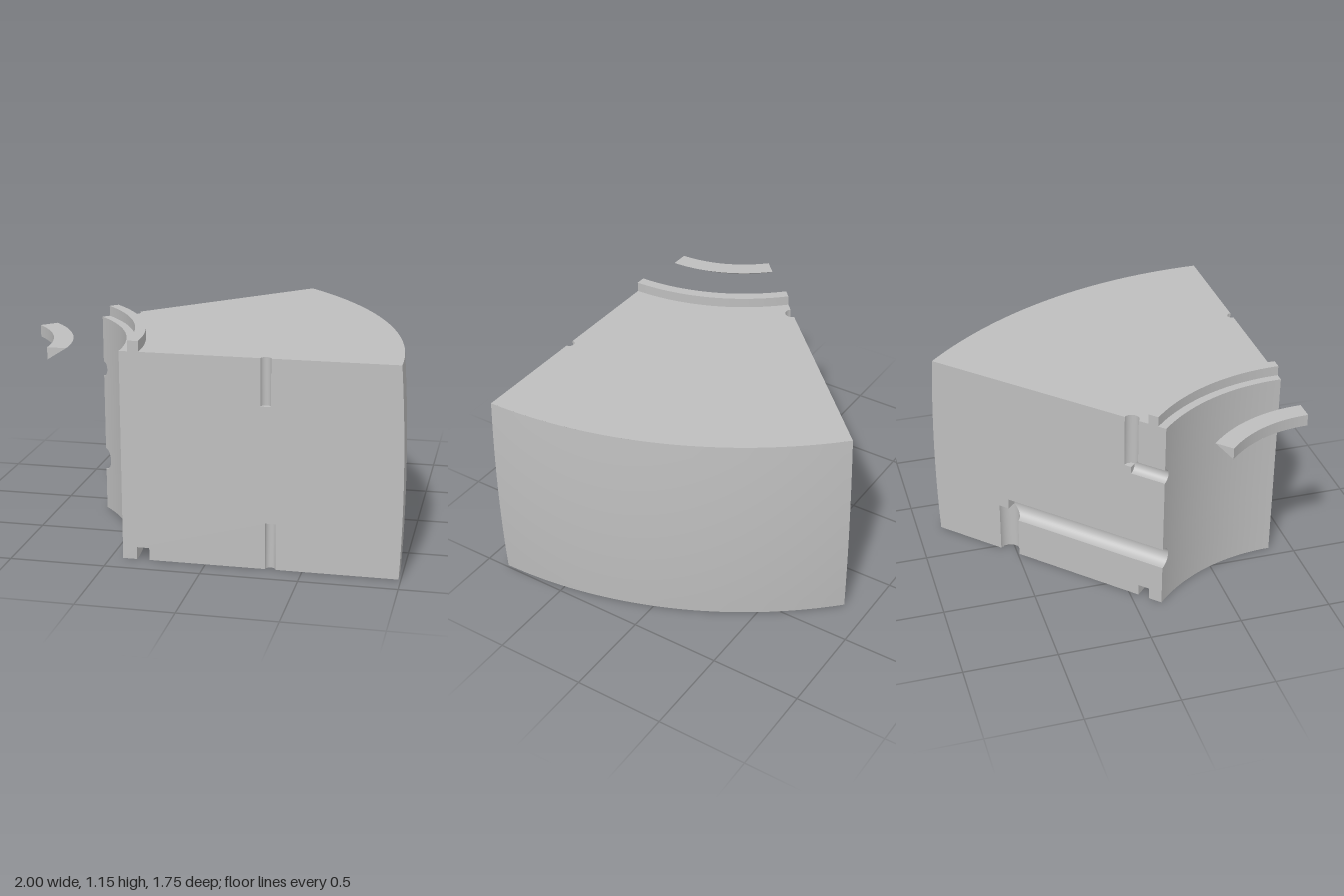
import * as THREE from 'three';
import { mergeGeometries } from 'three/addons/utils/BufferGeometryUtils.js';

const CX = -1.47, CZ = 0.873, A = Math.PI / 4; // shared axis and sector angle
const H = 1.1, RI = 1.035, G0 = 1.11, G1 = 1.175, GH = 0.065;
const rOut = y => 2.47 - 0.059 * (y - 0.45) ** 2; // slightly bulged outer wall

const polar = (r, a, y) => [CX + r * Math.cos(a), y, CZ - r * Math.sin(a)];
// Point on the radial plane at angle a: s along it, d into the block
const onFace = (a, s, y, d = 0) => [
  CX + s * Math.cos(a) + d * Math.sin(a), y, CZ - s * Math.sin(a) + d * Math.cos(a)];
const inFace = (a, s, y, d = 0) => onFace(a, s, y, a === 0 ? 0 : d).map((v, i) => (a === 0 && i === 2 ? v - d : v));
const range = (n, f) => Array.from({ length: n + 1 }, (_, i) => f(i / n));

function finish(positions, index) {
  const g = new THREE.BufferGeometry();
  g.setAttribute('position', new THREE.Float32BufferAttribute(positions, 3));
  g.setIndex(index);
  g.computeVertexNormals();
  return g;
}

// Smooth patch from a function of u, v in 0..1
function patch(nu, nv, f) {
  const p = [], idx = [];
  for (let i = 0; i <= nu; i++) for (let j = 0; j <= nv; j++) p.push(...f(i / nu, j / nv));
  for (let i = 0; i < nu; i++) for (let j = 0; j < nv; j++) {
    const a = i * (nv + 1) + j, b = a + nv + 1;
    idx.push(a, b, a + 1, b, b + 1, a + 1);
  }
  return finish(p, idx);
}

// Flat outline placed by a mapping function
function flat(points, map) {
  const pts = points.map(([x, y]) => new THREE.Vector2(x, y));
  const tris = THREE.ShapeUtils.triangulateShape(pts, []);
  return finish(points.flatMap(p => map(p[0], p[1])), tris.flat());
}

const sweepEdge = ([r0, y0], [r1, y1]) =>
  patch(32, 1, (u, v) => polar(r0 + (r1 - r0) * v, u * A, y0 + (y1 - y0) * v));

// Closed curved bar with the given radius/height section
function curvedBar(section) {
  const parts = section.map((p, i) => sweepEdge(p, section[(i + 1) % section.length]));
  for (const a of [0, A]) parts.push(flat(section, (s, y) => onFace(a, s, y)));
  return mergeGeometries(parts);
}

// Horizontal sector outline; its straight sides carry half-round notches
function sector(r0, r1, y, frontPin, sidePin) {
  const arc = (r, from, to) => range(32, t => {
    const [x, , z] = polar(r, from + (to - from) * t, 0);
    return [x, z];
  });
  const notch = (a, pin, dir) => !pin ? [] : range(16, t => {
    const th = Math.PI * t;
    const [x, , z] = inFace(a, pin[0] - dir * pin[1] * Math.cos(th), 0, pin[1] * Math.sin(th));
    return [x, z];
  });
  return flat([...arc(r0, 0, A), ...notch(A, sidePin, 1), ...arc(r1, A, 0), ...notch(0, frontPin, -1)],
    (x, z) => [x, y, z]);
}

// Half-round pin socket in the front face
function pinSocket(s, r, yOpen, yEnd) {
  const at = (t, k, y) => inFace(0, s + k * r * Math.cos(Math.PI * t), y, k * r * Math.sin(Math.PI * t));
  return [patch(16, 1, (u, v) => at(u, 1, yOpen + (yEnd - yOpen) * v)), patch(16, 1, (u, v) => at(u, v, yEnd))];
}

// L-shaped half-round channel in the slanted face
function channel({ s, y, r, open }) {
  const dir = Math.sign(open - y);
  return [
    patch(24, 1, (t, k) => {
      const u = r * Math.cos(Math.PI * t), d = r * Math.sin(Math.PI * t);
      const end = u > 0 ? y : y - dir * u;
      return inFace(A, s + u, open + (end - open) * k, d);
    }),
    patch(24, 1, (t, k) => {
      const v = r * Math.cos(Math.PI * t), d = r * Math.sin(Math.PI * t);
      const start = Math.sqrt(RI * RI - d * d), end = v > 0 ? s - v : s;
      return inFace(A, start + (end - start) * k, y + dir * v, d);
    }),
    patch(12, 1, (t, k) => inFace(A, s + k * r * Math.cos(A * 2 * t), y, k * r * Math.sin(A * 2 * t))),
    patch(12, 1, (t, k) => inFace(A, s, y - dir * k * r * Math.cos(A * 2 * t), k * r * Math.sin(A * 2 * t))),
  ];
}

export function createModel() {
  const group = new THREE.Group();
  const grey = new THREE.MeshStandardMaterial({ color: 0xbebebe, side: THREE.DoubleSide });
  grey.name = 'plain grey';
  const add = (name, geometry) => {
    const mesh = new THREE.Mesh(geometry, grey);
    mesh.name = name;
    group.add(mesh);
  };

  const low = { s: 1.99, y: 0.29, r: 0.06, open: 0 };
  const high = { s: 1.23, y: 0.81, r: 0.04, open: H };
  const pr = 0.027, pTop = 1.78, pLow = 1.807, yTop = 0.855, yLow = 0.245;
  const groove = [[G0, 0], [G0, GH], [G1, GH], [G1, 0]];
  const outer = range(16, t => [rOut(H * t), H * t]);

  // Curved outer wall
  add('outerWall', patch(48, 16, (u, v) => polar(rOut(H * v), A * u, H * v)));

  // Curved inner wall, notched where the channels run out
  const rows = [[0, 0]];
  for (const c of [low, high]) {
    rows.push(...range(24, t => [c.y - c.r * Math.cos(Math.PI * t), c.r * Math.sin(Math.PI * t)]));
  }
  rows.push([H, 0]);
  const n = rows.length - 1;
  add('innerWall', patch(n, 32, (u, v) => {
    const [y, d] = rows[Math.round(u * n)];
    return polar(RI, v * (A - Math.asin(d / RI)), y);
  }));

  // Top and bottom faces
  add('topFace', sector(RI, rOut(H), H, [pTop, pr], [high.s, high.r]));
  add('bottomFace', mergeGeometries([
    sector(RI, G0, 0), sector(G1, rOut(0), 0, [pLow, pr], [low.s, low.r])]));

  // Curved groove under the block
  add('bottomGroove', mergeGeometries([0, 1, 2].map(i => sweepEdge(groove[i], groove[i + 1]))));

  // Front face with its two pin sockets
  add('frontFace', flat([
    [RI, 0], ...groove,
    [pLow - pr, 0], [pLow - pr, yLow], [pLow + pr, yLow], [pLow + pr, 0],
    ...outer,
    [pTop + pr, H], [pTop + pr, yTop], [pTop - pr, yTop], [pTop - pr, H], [RI, H],
  ], (s, y) => onFace(0, s, y)));
  add('frontPinSockets', mergeGeometries([
    ...pinSocket(pTop, pr, H, yTop), ...pinSocket(pLow, pr, 0, yLow)]));

  // Slanted face, divided by the two channels
  const slanted = pts => flat(pts, (s, y) => onFace(A, s, y));
  const l = low, h = high;
  add('slantedFace', mergeGeometries([
    slanted([[RI, 0], ...groove, [l.s - l.r, 0], [l.s - l.r, l.y - l.r], [RI, l.y - l.r]]),
    slanted([[l.s + l.r, 0], ...outer, [h.s + h.r, H], [h.s + h.r, h.y], [h.s, h.y],
      [h.s, h.y - h.r], [RI, h.y - h.r], [RI, l.y + l.r], [l.s, l.y + l.r], [l.s, l.y], [l.s + l.r, l.y]]),
    slanted([[RI, h.y + h.r], [h.s - h.r, h.y + h.r], [h.s - h.r, H], [RI, H]]),
  ]));
  add('lowerChannel', mergeGeometries(channel(low)));
  add('upperChannel', mergeGeometries(channel(high)));

  // Raised lip on the top and the separate triangular strip
  add('topLip', curvedBar([[1.08, H], [1.135, H], [1.135, 1.155], [1.08, 1.155]]));
  add('looseStrip', curvedBar([[0.663, 1.037], [0.763, H], [0.663, H]]));
  return group;
}
